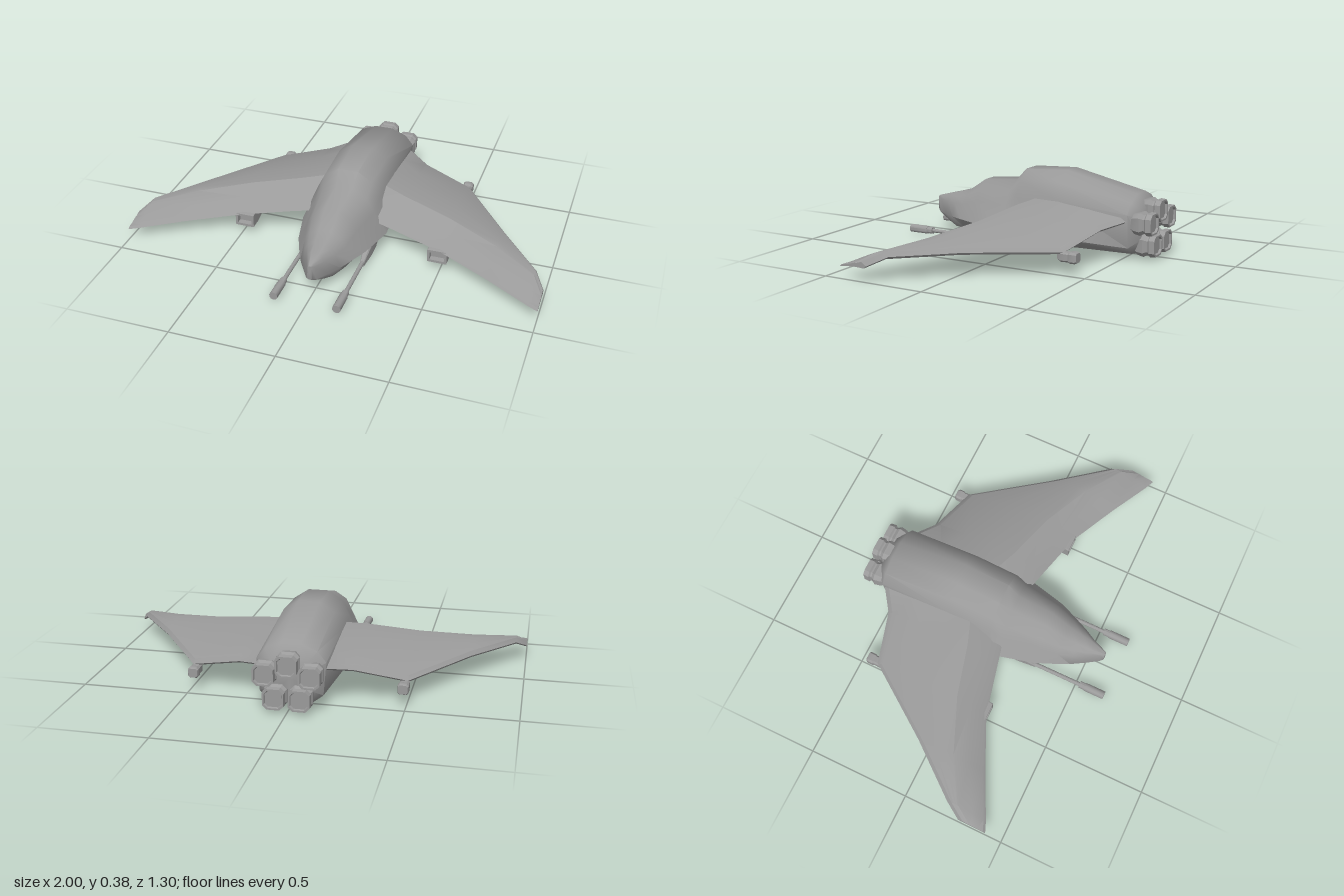
import * as THREE from 'three';
import { toCreasedNormals } from 'three/addons/utils/BufferGeometryUtils.js';

const material = new THREE.MeshStandardMaterial({ color: 0x9a9a9a });

// Skin a run of closed rings ([x, y, z] points), cap both ends and face it outward.
function loft(rings, crease = 0.5) {
  const n = rings[0].length;
  const pos = rings.flat(2);
  const tris = [];
  for (let r = 0; r < rings.length - 1; r++) {
    for (let i = 0; i < n; i++) {
      const a = r * n + i, b = r * n + (i + 1) % n;
      tris.push([a, b, b + n], [a, b + n, a + n]);
    }
  }
  [0, rings.length - 1].forEach((r) => {
    const c = pos.length / 3;
    for (let k = 0; k < 3; k++) pos.push(rings[r].reduce((s, p) => s + p[k], 0) / n);
    for (let i = 0; i < n; i++) {
      const a = r * n + i, b = r * n + (i + 1) % n;
      tris.push(r === 0 ? [c, b, a] : [c, a, b]);
    }
  });
  // signed volume tells whether the winding must be turned
  const v = (i) => new THREE.Vector3().fromArray(pos, i * 3);
  const volume = tris.reduce((s, [a, b, c]) => s + v(a).dot(v(b).cross(v(c))), 0);
  if (volume < 0) tris.forEach((t) => t.reverse());
  const geo = new THREE.BufferGeometry();
  geo.setAttribute('position', new THREE.Float32BufferAttribute(pos, 3));
  geo.setIndex(tris.flat());
  return toCreasedNormals(geo, crease);
}

// Square ring with cut corners, facing along z.
function chamferRing(x, y, z, w, h, cut = 0.35) {
  const p = [[1, 1 - cut], [1 - cut, 1], [cut - 1, 1], [-1, 1 - cut],
    [-1, cut - 1], [cut - 1, -1], [1 - cut, -1], [1, cut - 1]];
  return p.map(([u, v]) => [x + u * w, y + v * h, z]);
}

const lerp = THREE.MathUtils.lerp;

// z, top y, top half width, shoulder x y, chine x y, low edge x y, keel y
const HULL = [
  [0.578, 0.18, 0.004, 0.01, 0.17, 0.012, 0.115, 0.006, 0.108, 0.107],
  [0.56, 0.185, 0.007, 0.018, 0.168, 0.024, 0.1, 0.016, 0.096, 0.095],
  [0.5, 0.2, 0.02, 0.045, 0.165, 0.062, 0.1, 0.04, 0.068, 0.066],
  [0.44, 0.215, 0.025, 0.075, 0.165, 0.098, 0.1, 0.06, 0.045, 0.042],
  [0.37, 0.235, 0.03, 0.1, 0.17, 0.13, 0.1, 0.09, 0.048, 0.04],
  [0.28, 0.295, 0.035, 0.12, 0.2, 0.168, 0.1, 0.11, 0.045, 0.03],
  [0.1, 0.31, 0.04, 0.15, 0.2, 0.213, 0.095, 0.13, 0.035, 0.01],
  [0.04, 0.37, 0.05, 0.155, 0.25, 0.205, 0.085, 0.13, 0.035, 0.005],
  [-0.18, 0.38, 0.05, 0.16, 0.255, 0.185, 0.08, 0.12, 0.03, 0.005],
  [-0.54, 0.3, 0.045, 0.158, 0.22, 0.145, 0.065, 0.1, 0.03, 0.015],
  [-0.585, 0.25, 0.035, 0.11, 0.2, 0.1, 0.1, 0.07, 0.06, 0.045],
];

function hullRing([z, top, tx, sx, sy, cx, cy, lx, ly, keel]) {
  const half = [[tx, top], [lerp(tx, sx, 0.65), lerp(top, sy, 0.38)], [sx, sy], [cx, cy], [lx, ly]];
  const left = half.map(([x, y]) => [x, y, z]);
  const right = half.map(([x, y]) => [-x, y, z]).reverse();
  return [...left, [0, keel, z], ...right];
}

// x, leading z y, crest y and its place along the chord, trailing z y
const WING = [
  [0.13, 0.1, 0.155, 0.256, 0.28, -0.55, 0.195],
  [0.26, 0.13, 0.14, 0.238, 0.28, -0.46, 0.165],
  [0.5, 0.185, 0.105, 0.2, 0.27, -0.4, 0.11],
  [0.75, 0.3, 0.085, 0.163, 0.5, -0.05, 0.12],
  [0.95, 0.4, 0.066, 0.13, 0.8, 0.2, 0.115],
  [1, 0.42, 0.06, 0.085, 0.7, 0.28, 0.075],
];

function wingRing([x, lz, ly, crest, t, tz, ty], side) {
  const bevel = 0.024; // sloped band along the trailing edge
  const pt = (z, y) => [side * x, y, z];
  const topZ = (f) => lerp(lz, tz + bevel, f);
  const edgeY = ty + 0.018;
  const backCrest = lerp(t, 1, 0.28);
  return [pt(lz, ly), pt(lz - 0.012, ly + 0.01), pt(topZ(t / 2), lerp(ly, crest, 0.56)),
    pt(topZ(t), crest), pt(topZ(backCrest), lerp(crest, edgeY, 0.04)),
    pt(topZ(lerp(backCrest, 1, 0.5)), lerp(crest, edgeY, 0.5)), pt(tz + bevel, edgeY),
    pt(tz, ty), pt(tz + 0.012, ty - 0.01), pt(lerp(lz, tz, 0.5), lerp(ly, ty, 0.5))];
}

export function createModel() {
  const model = new THREE.Group();
  const add = (name, geometry, parent = model) => {
    const mesh = new THREE.Mesh(geometry, material);
    mesh.name = name;
    parent.add(mesh);
    return mesh;
  };

  add('fuselage', loft(HULL.map(hullRing), 0.9));

  for (const side of [1, -1]) {
    const label = side > 0 ? 'left' : 'right';
    add(label + 'Wing', loft(WING.map((s) => wingRing(s, side)), 0.5));

    // small pod on the kink of the trailing edge
    const px = side * 0.485;
    add(label + 'WingPod', loft([[-0.365, 0.014], [-0.385, 0.023], [-0.42, 0.021],
      [-0.428, 0.025], [-0.452, 0.025], [-0.46, 0.021]].map(([z, r]) => chamferRing(px, 0.088, z, r, r))));

    // wedge-shaped pod under the wing with a recessed front opening
    const pod = [[0.165, 0.034, 0.06, 0.095], [0.19, 0.036, 0.057, 0.098], [0.19, 0.047, 0.045, 0.11],
      [0.13, 0.047, 0.047, 0.125], [-0.15, 0.036, 0.1, 0.14]];
    add(label + 'UnderwingPod', loft(pod.map(([z, w, lo, hi]) =>
      chamferRing(px, (lo + hi) / 2, z, w, (hi - lo) / 2, 0.08)), 0.3));

    // gun: mounting fin, barrel and stepped muzzle
    const gun = new THREE.Group();
    gun.name = label + 'Gun';
    model.add(gun);
    const gx = side * 0.15;
    const fin = [[0.285, 0.01, 0.012, 0.035], [0.2, 0.02, 0.012, 0.085],
      [0.13, 0.022, 0.016, 0.12], [-0.01, 0.008, 0.07, 0.1]];
    add('gunMount', loft(fin.map(([z, w, lo, hi]) =>
      chamferRing(gx, (lo + hi) / 2, z, w, (hi - lo) / 2, 0.3)), 0.3), gun);
    for (const [name, z0, z1, r] of [['barrel', 0.25, 0.54, 0.01],
      ['muzzleCollar', 0.52, 0.56, 0.017], ['muzzle', 0.55, 0.65, 0.02]]) {
      const geo = new THREE.CylinderGeometry(r, r, z1 - z0, 10);
      geo.rotateX(Math.PI / 2);
      add(name, toCreasedNormals(geo, 0.7), gun).position.set(gx, 0.03, (z0 + z1) / 2);
    }
  }

  // five block-shaped engines around the tail, each with a groove and a shallow nozzle
  const profile = [[-0.53, 0.028], [-0.565, 0.047], [-0.595, 0.052], [-0.61, 0.043], [-0.618, 0.043],
    [-0.625, 0.05], [-0.652, 0.048], [-0.652, 0.04], [-0.642, 0.037]];
  [[0, 0.226], [0.103, 0.18], [-0.103, 0.18], [0.058, 0.072], [-0.058, 0.072]].forEach(([x, y], i) => {
    add('engine' + (i + 1), loft(profile.map(([z, r]) => chamferRing(x, y, z, r, r, 0.4)), 0.4));
  });

  return model;
}
